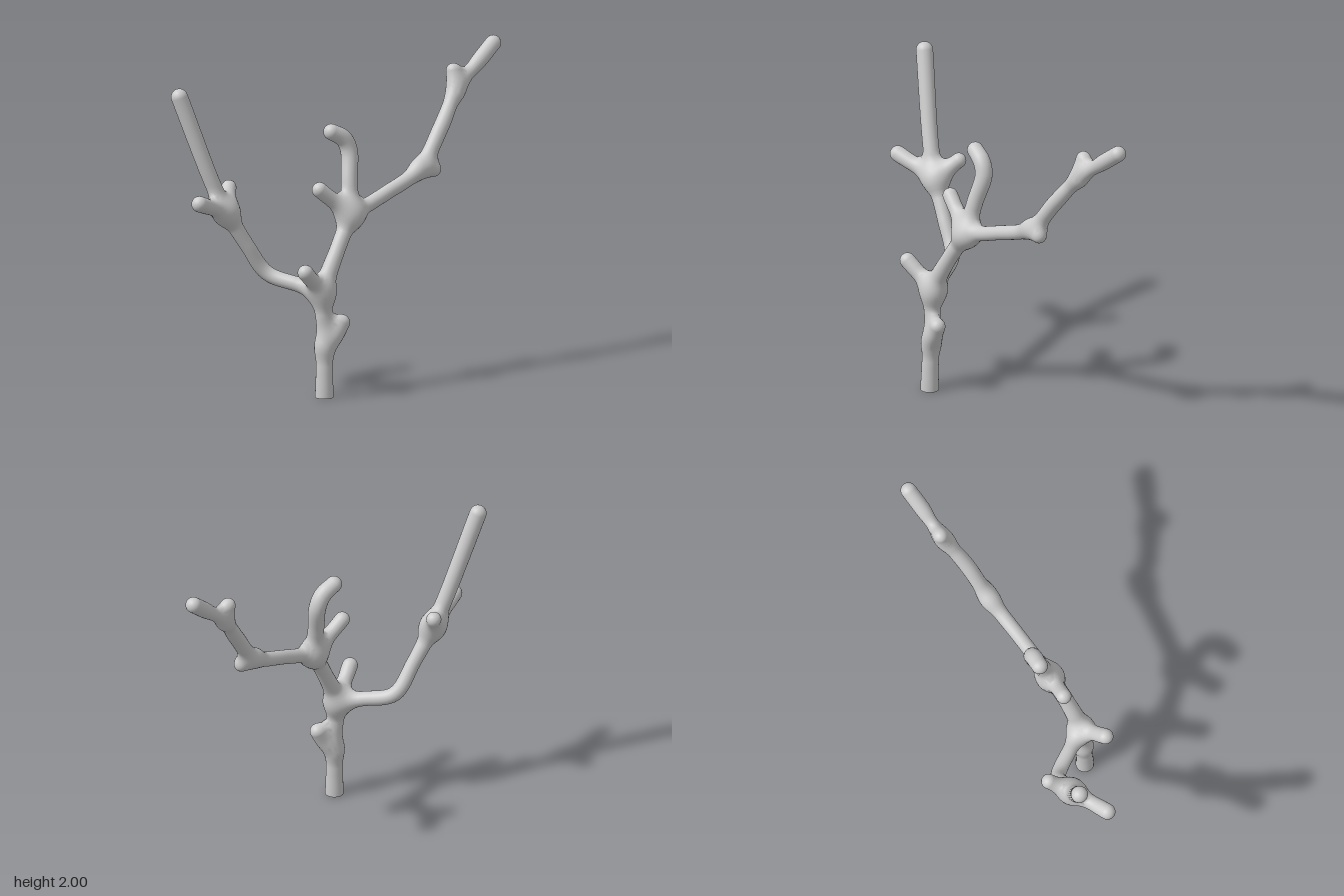
import * as THREE from 'three';

// Each branch: path points as [x, y, z, radius]
const BRANCHES = {
  trunk: [[-0.035, 0, 0.475, 0.056], [-0.035, 0.15, 0.472, 0.052], [-0.037, 0.4, 0.46, 0.045], [-0.04, 0.65, 0.45, 0.056],
    [0.04, 0.9, 0.35, 0.048], [0.11, 1.08, 0.25, 0.05]],
  trunkTwig: [[-0.03, 0.31, 0.465, 0.035], [0.035, 0.38, 0.445, 0.045], [0.07, 0.455, 0.425, 0.048]],
  forkTwig: [[-0.05, 0.64, 0.45, 0.04], [-0.14, 0.8, 0.61, 0.048]],
  leftLimb: [[-0.05, 0.64, 0.45, 0.05], [-0.2, 0.68, 0.4, 0.045], [-0.39, 0.735, 0.345, 0.046],
    [-0.51, 0.92, 0.395, 0.044], [-0.63, 1.13, 0.45, 0.05]],
  leftTip: [[-0.63, 1.13, 0.45, 0.045], [-0.71, 1.31, 0.48, 0.049], [-0.91, 1.858, 0.522, 0.052]],
  leftFrontTwig: [[-0.63, 1.13, 0.45, 0.035], [-0.778, 1.232, 0.68, 0.049]],
  leftBackTwig: [[-0.63, 1.13, 0.45, 0.035], [-0.625, 1.255, 0.31, 0.046]],
  rightLimb: [[0.11, 1.08, 0.25, 0.045], [0.3, 1.17, 0.06, 0.044], [0.5, 1.285, -0.15, 0.046], [0.62, 1.51, -0.3, 0.048],
    [0.7, 1.7, -0.44, 0.042], [0.76, 1.78, -0.515, 0.038], [0.84, 1.87, -0.6, 0.049], [0.91, 1.95, -0.682, 0.049]],
  rightLowTwig: [[0.5, 1.285, -0.15, 0.035], [0.585, 1.268, -0.2, 0.04]],
  rightHighTwig: [[0.7, 1.7, -0.44, 0.03], [0.683, 1.825, -0.468, 0.044]],
  crookedBranch: [[0.11, 1.08, 0.25, 0.045], [0.098, 1.28, 0.2, 0.05], [0.092, 1.46, 0.145, 0.053],
    [0.06, 1.535, 0.157, 0.053], [-0.01, 1.583, 0.198, 0.05]],
  innerTwig: [[0.11, 1.08, 0.25, 0.04], [-0.072, 1.257, 0.35, 0.047]],
};
const SIDES = 24, BLEND = 0.09;

// Sample a branch into evenly spaced centres, radii and frames
function samplePath(points) {
  const curve = new THREE.CatmullRomCurve3(points.map(([x, y, z]) => new THREE.Vector3(x, y, z)));
  const count = Math.ceil(curve.getLength() / 0.025);
  const frames = curve.computeFrenetFrames(count);
  const samples = [];
  for (let i = 0; i <= count; i++) {
    const s = curve.getUtoTmapping(i / count) * (points.length - 1);
    const k = Math.min(Math.floor(s), points.length - 2);
    samples.push({
      c: curve.getPointAt(i / count),
      r: THREE.MathUtils.lerp(points[k][3], points[k + 1][3], THREE.MathUtils.smoothstep(s - k, 0, 1)),
      n: frames.normals[i], b: frames.binormals[i], t: frames.tangents[i],
    });
  }
  return samples;
}

// Distance from a point to one tapered branch
function branchDistance(p, samples) {
  let best = Infinity;
  for (let i = 1; i < samples.length; i++) {
    const a = samples[i - 1], b = samples[i];
    const dx = b.c.x - a.c.x, dy = b.c.y - a.c.y, dz = b.c.z - a.c.z;
    const px = p.x - a.c.x, py = p.y - a.c.y, pz = p.z - a.c.z;
    const h = Math.min(1, Math.max(0, (px * dx + py * dy + pz * dz) / (dx * dx + dy * dy + dz * dz)));
    const d = Math.hypot(px - dx * h, py - dy * h, pz - dz * h) - a.r - (b.r - a.r) * h;
    if (d < best) best = d;
  }
  return best;
}

// Distance to the whole tree, with soft fillets where branches meet
function treeDistance(p, all) {
  let d = 1;
  for (const samples of all) {
    const e = branchDistance(p, samples);
    const h = Math.max(BLEND - Math.abs(d - e), 0) / BLEND;
    d = Math.min(d, e) - h * h * BLEND / 4;
  }
  return d;
}

function treeNormal(p, all) {
  const e = 0.002, q = new THREE.Vector3();
  const slope = (x, y, z) => treeDistance(q.set(p.x + x, p.y + y, p.z + z), all)
    - treeDistance(q.set(p.x - x, p.y - y, p.z - z), all);
  return new THREE.Vector3(slope(e, 0, 0), slope(0, e, 0), slope(0, 0, e)).normalize();
}

// Sweep rings along a branch with a round tip, pushing vertices out to the blended surface
function branchGeometry(samples, all) {
  const rings = samples.map((s) => ({ s, tilt: 0 }));
  const tip = samples[samples.length - 1];
  for (let i = 1; i <= 6; i++) rings.push({ s: tip, tilt: (i / 6) * Math.PI / 2 });
  const positions = [], normals = [], index = [];
  const dir = new THREE.Vector3(), p = new THREE.Vector3();
  rings.forEach(({ s, tilt }, i) => {
    for (let j = 0; j <= SIDES; j++) {
      const a = (j / SIDES) * Math.PI * 2;
      dir.set(0, 0, 0).addScaledVector(s.n, Math.cos(a) * Math.cos(tilt))
        .addScaledVector(s.b, Math.sin(a) * Math.cos(tilt)).addScaledVector(s.t, Math.sin(tilt));
      let reach = 0;
      for (let step = 0; step < 30; step++) {
        const d = treeDistance(p.copy(s.c).addScaledVector(dir, reach), all);
        reach = Math.min(reach - d, s.r * 2.2);
        if (Math.abs(d) < 1e-4 || reach === s.r * 2.2) break;
      }
      p.copy(s.c).addScaledVector(dir, reach);
      p.y = Math.max(p.y, 0);
      positions.push(p.x, p.y, p.z);
      normals.push(...treeNormal(p, all).toArray());
      if (i > 0 && j > 0) {
        const v = i * (SIDES + 1) + j, u = v - SIDES - 1;
        index.push(u - 1, u, v - 1, u, v, v - 1);
      }
    }
  });
  const geometry = new THREE.BufferGeometry();
  geometry.setAttribute('position', new THREE.Float32BufferAttribute(positions, 3));
  geometry.setAttribute('normal', new THREE.Float32BufferAttribute(normals, 3));
  geometry.setIndex(index);
  return geometry;
}

export function createModel() {
  const group = new THREE.Group();
  group.name = 'bareTree';
  const material = new THREE.MeshStandardMaterial({ color: 0xcccccc });
  const paths = Object.entries(BRANCHES).map(([name, points]) => [name, samplePath(points)]);
  const all = paths.map(([, samples]) => samples);
  for (const [name, samples] of paths) {
    const mesh = new THREE.Mesh(branchGeometry(samples, all), material);
    mesh.name = name;
    group.add(mesh);
  }
  // Flat cut at the foot of the trunk
  const [x, y, z, r] = BRANCHES.trunk[0];
  const base = new THREE.Mesh(new THREE.CircleGeometry(r, SIDES), material);
  base.name = 'trunkBase';
  base.rotation.x = Math.PI / 2;
  base.position.set(x, y, z);
  group.add(base);
  return group;
}
